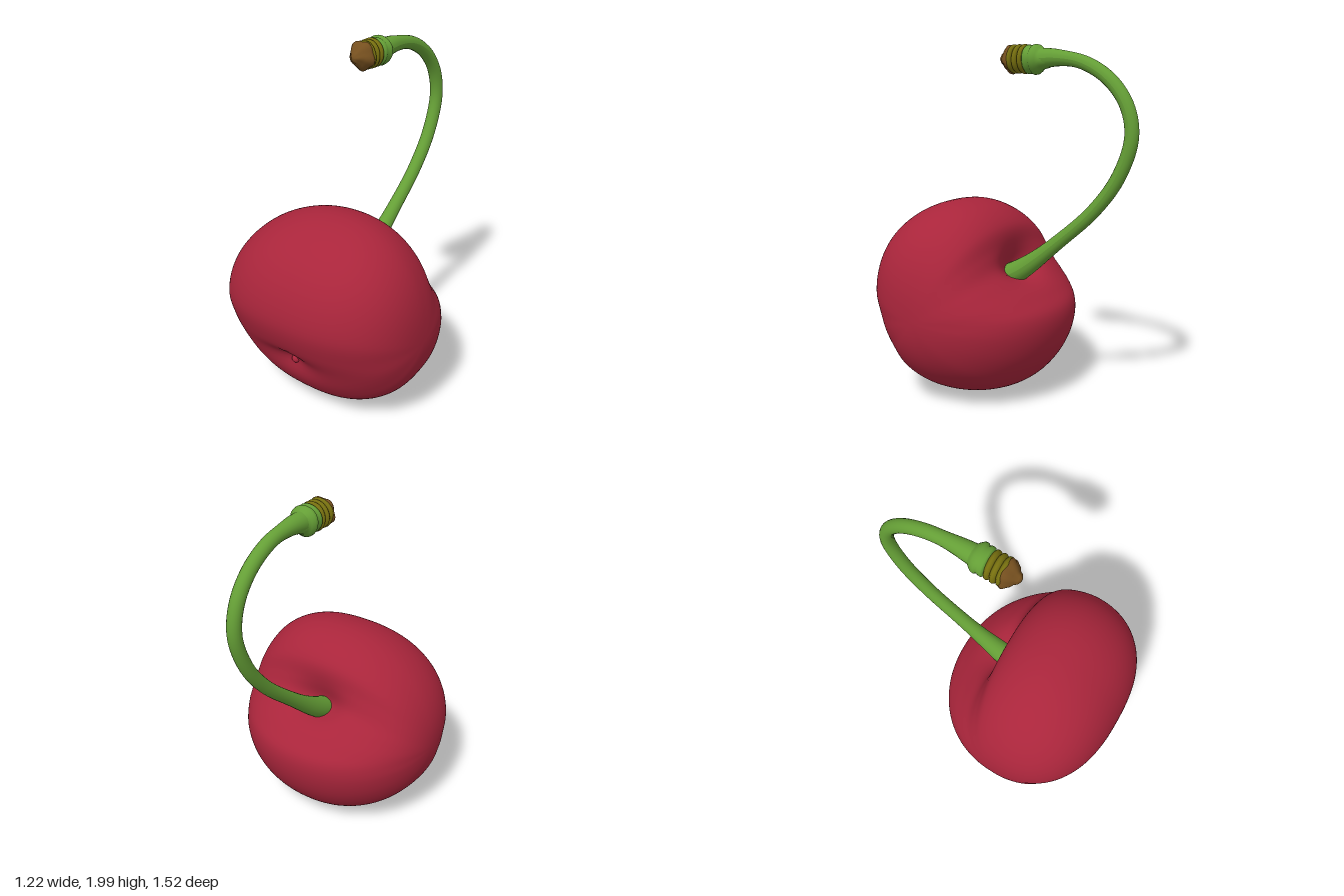
import * as THREE from 'three';

const material = (name, color) => {
  const m = new THREE.MeshStandardMaterial({ color });
  m.name = name;
  return m;
};

// Closed side profiles as (z, y): through the middle, and away from the middle where the cleft fades.
const MID = [[.76, .64], [.72, .82], [.62, .97], [.46, 1.08], [.28, 1.12], [.12, 1.08], [.02, .99], [-.01, .87],
  [-.04, .78], [-.12, .7], [-.22, .61], [-.29, .53], [-.3, .42], [-.25, .26], [-.13, .11], [.03, .03], [.2, .002],
  [.36, .025], [.5, .1], [.59, .21], [.66, .36], [.72, .48]];
const CLEFT_FILL = { 6: [0, 1], 7: [-.09, .91], 8: [-.17, .81], 9: [-.24, .71], 10: [-.28, .62], 20: [.68, .34] };
const OUTER = MID.map((p, i) => CLEFT_FILL[i] || p);
const closedCurve = (pts) =>
  new THREE.CatmullRomCurve3(pts.map(([z, y]) => new THREE.Vector3(0, y, z)), true);

// Push a point along a direction with a soft round falloff.
function dent(p, at, dir, depth, sx, s) {
  const d2 = ((p.x - at.x) / sx) ** 2 + ((p.y - at.y) ** 2 + (p.z - at.z) ** 2) / (s * s);
  p.addScaledVector(dir, depth * Math.exp(-d2));
}

// Fruit: side profiles lofted across x and closed at both cheeks.
function fruitGeometry() {
  const rows = 80, cols = 132, halfWidth = .61;
  const mid = closedCurve(MID), outer = closedCurve(OUTER);
  const centre = new THREE.Vector3(0, .52, .26);
  const stemPit = new THREE.Vector3(0, .77, -.05), stemDir = new THREE.Vector3(0, -.6, .8);
  const tipPit = new THREE.Vector3(0, .35, .66), tipDir = new THREE.Vector3(0, .35, -.94);
  const pos = [], index = [];
  for (let i = 0; i <= rows; i++) {
    const a = (i / rows) * Math.PI, c = Math.cos(a), sn = Math.max(0, Math.sin(a));
    for (let j = 0; j < cols; j++) {
      const t = j / cols;
      const p = mid.getPoint(t).lerp(outer.getPoint(t), c * c).sub(centre);
      // The front is fuller than the back
      const n = 2.1 + .35 * THREE.MathUtils.smoothstep(p.z, -.2, .5);
      p.multiplyScalar(i % rows ? sn ** (2 / n) : 0).add(centre);
      p.x = halfWidth * Math.sign(c) * Math.abs(c) ** (2 / n);
      p.x += .06 * (Math.max(0, p.y - .52) / .6) ** 2;
      dent(p, stemPit, stemDir, .1, .14, .1);
      dent(p, tipPit, tipDir, .035, .16, .09);
      dent(p, tipPit, tipDir, .03, .05, .045);
      pos.push(p.x, p.y, p.z);
    }
  }
  const at = (i, j) => i * cols + (i % rows ? j % cols : 0);
  for (let i = 0; i < rows; i++) {
    for (let j = 0; j < cols; j++) {
      const q = [at(i, j), at(i, j + 1), at(i + 1, j), at(i + 1, j + 1)];
      if (i > 0) index.push(q[0], q[1], q[2]);
      if (i < rows - 1) index.push(q[1], q[3], q[2]);
    }
  }
  const g = new THREE.BufferGeometry();
  g.setAttribute('position', new THREE.Float32BufferAttribute(pos, 3));
  g.setIndex(index);
  g.computeVertexNormals();
  return g;
}

// Stem: a tube whose radius changes along its length.
function stemGeometry() {
  const path = new THREE.CatmullRomCurve3([[.08, .66], [-.08, .755], [-.3, .93], [-.51, 1.12], [-.65, 1.31],
    [-.72, 1.52], [-.69, 1.68], [-.59, 1.81], [-.44, 1.895], [-.28, 1.92], [-.12, 1.912]]
    .map(([z, y]) => new THREE.Vector3(0, y, z)));
  const steps = 90;
  const sides = 20;
  const g = new THREE.TubeGeometry(path, steps, 1, sides);
  const p = g.attributes.position, v = new THREE.Vector3();
  for (let i = 0; i <= steps; i++) {
    const u = i / steps, c = path.getPointAt(u);
    const r = .038 + .03 * Math.exp(-((u / .14) ** 2)) + .02 * THREE.MathUtils.smoothstep(u, .87, 1);
    for (let j = 0; j <= sides; j++) {
      const k = i * (sides + 1) + j;
      v.fromBufferAttribute(p, k).sub(c).multiplyScalar(r).add(c);
      p.setXYZ(k, v.x, v.y, v.z);
    }
  }
  g.computeVertexNormals();
  return g;
}

// Turned piece facing +z with a slightly uneven outline; profile is (radius, z).
function knobGeometry(profile, wobble, waves) {
  const g = new THREE.LatheGeometry(profile.map(([r, z]) => new THREE.Vector2(r, z)), 32);
  const p = g.attributes.position;
  for (let i = 0; i < p.count; i++) {
    const x = p.getX(i), y = p.getY(i), z = p.getZ(i), a = Math.atan2(z, x);
    const s = 1 + wobble * Math.sin(waves * a + y * 25);
    p.setXYZ(i, x * s, y, z * s);
  }
  g.rotateX(Math.PI / 2);
  g.computeVertexNormals();
  return g;
}

export function createModel() {
  const red = material('cherry red', 0xa9253b);
  const green = material('stem green', 0x659f36);
  const olive = material('olive', 0x77700f);
  const brown = material('bark brown', 0x76501f);
  const model = new THREE.Group();
  model.name = 'cherry';
  const add = (name, geometry, mat, parent = model) => {
    const mesh = new THREE.Mesh(geometry, mat);
    mesh.name = name;
    parent.add(mesh);
    return mesh;
  };

  add('fruit', fruitGeometry(), red);
  const nub = add('blossomNub', new THREE.SphereGeometry(.024, 20, 14), red);
  nub.position.set(.005, .35, .605);
  add('stem', stemGeometry(), green);

  // Stem end: green collar, olive rings and a crinkled dry tip
  const end = new THREE.Group();
  end.name = 'stemEnd';
  end.position.set(0, 1.912, 0);
  model.add(end);
  add('collar', knobGeometry([[.045, -.23], [.055, -.185], [.068, -.172], [.08, -.155], [.082, -.14], [.072, -.128],
    [.078, -.115], [.078, -.1], [.066, -.088], [0, -.085]], .03, 3), green, end);
  for (let i = 0; i < 3; i++) {
    const z = -.092 + i * .034;
    add('oliveRing', knobGeometry([[0, z], [.064, z], [.077, z + .009], [.079, z + .018], [.074, z + .028],
      [.062, z + .036], [0, z + .036]], .02, 2 + i), olive, end);
  }
  add('dryTip', knobGeometry([[0, -.012], [.066, -.01], [.078, .003], [.076, .016], [.062, .032], [.052, .045],
    [.036, .056], [.026, .072], [.012, .082], [0, .083]], .07, 5), brown, end);
  return model;
}
